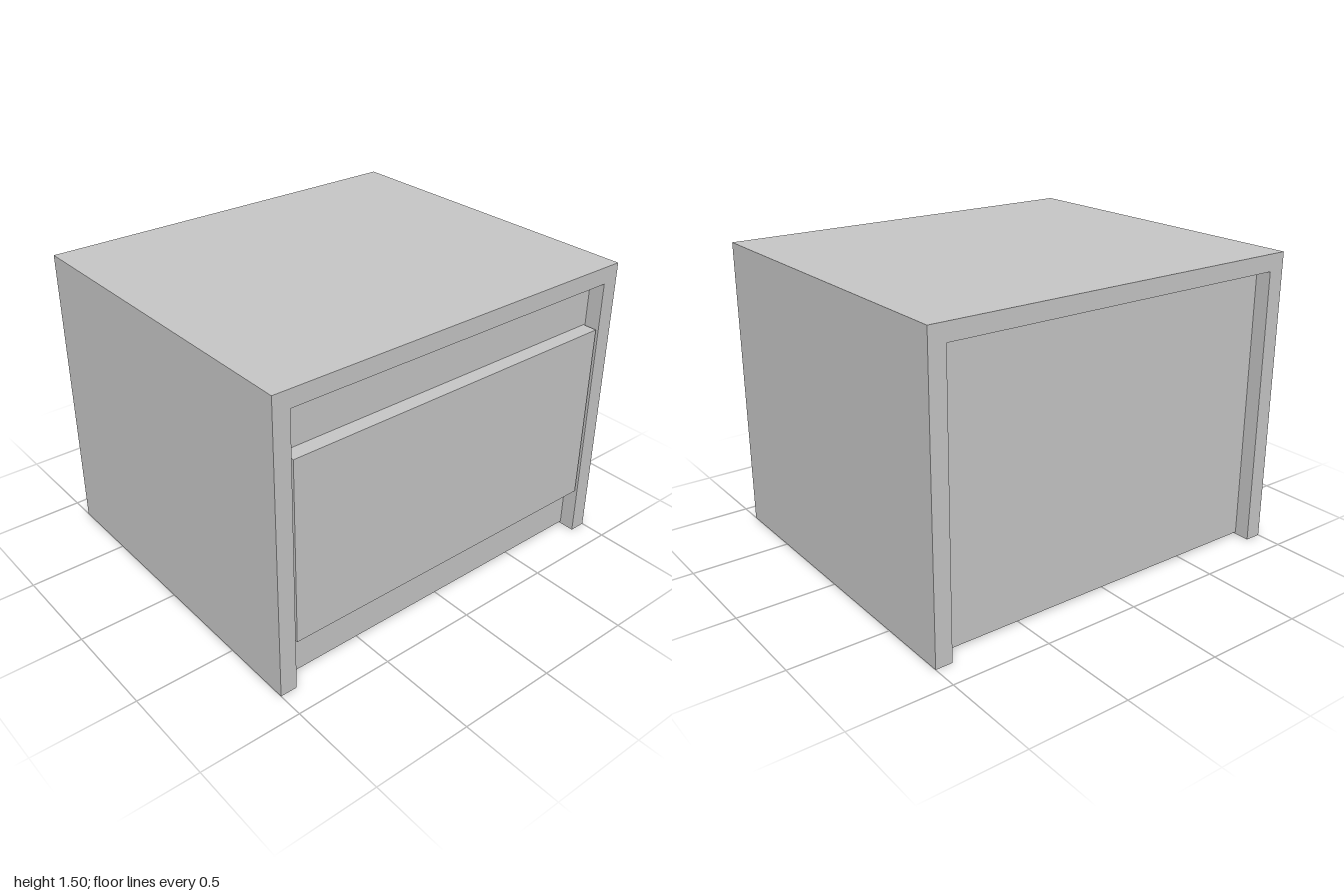
import * as THREE from 'three';

export function createModel() {
  const group = new THREE.Group();
  group.name = 'nightstand';
  const lightGrey = new THREE.MeshStandardMaterial({ color: 0xc8c8c8 });
  lightGrey.name = 'lightGrey';

  // Adds a board spanning the given [min, max] ranges
  const board = (name, [x0, x1], [y0, y1], [z0, z1]) => {
    const mesh = new THREE.Mesh(new THREE.BoxGeometry(x1 - x0, y1 - y0, z1 - z0), lightGrey);
    mesh.position.set((x0 + x1) / 2, (y0 + y1) / 2, (z0 + z1) / 2);
    mesh.name = name;
    group.add(mesh);
  };

  const depth = 0.87;   // half depth
  const inner = 0.915;  // inner face of the side panels
  const under = 1.41;   // underside of the top
  const recess = 0.79;  // outer face of the front and back panels
  const across = [-inner, inner];

  // Top slab and full-depth side panels
  board('top', [-1, 1], [under, 1.495], [-depth, depth]);
  board('leftSide', [inner, 1], [0, under], [-depth, depth]);
  board('rightSide', [-1, -inner], [0, under], [-depth, depth]);

  // Recessed carcass panels, with the bottom board set just above their lower edges
  board('frontPanel', across, [0.01, under], [recess - 0.08, recess]);
  board('backPanel', across, [0.01, under], [-recess, -recess + 0.08]);
  board('bottom', across, [0.035, 0.1], [-recess + 0.08, recess - 0.08]);

  // Drawer front, almost flush with the side panels
  board('drawerFront', [-0.903, 0.903], [0.25, 1.175], [recess, 0.865]);

  return group;
}
